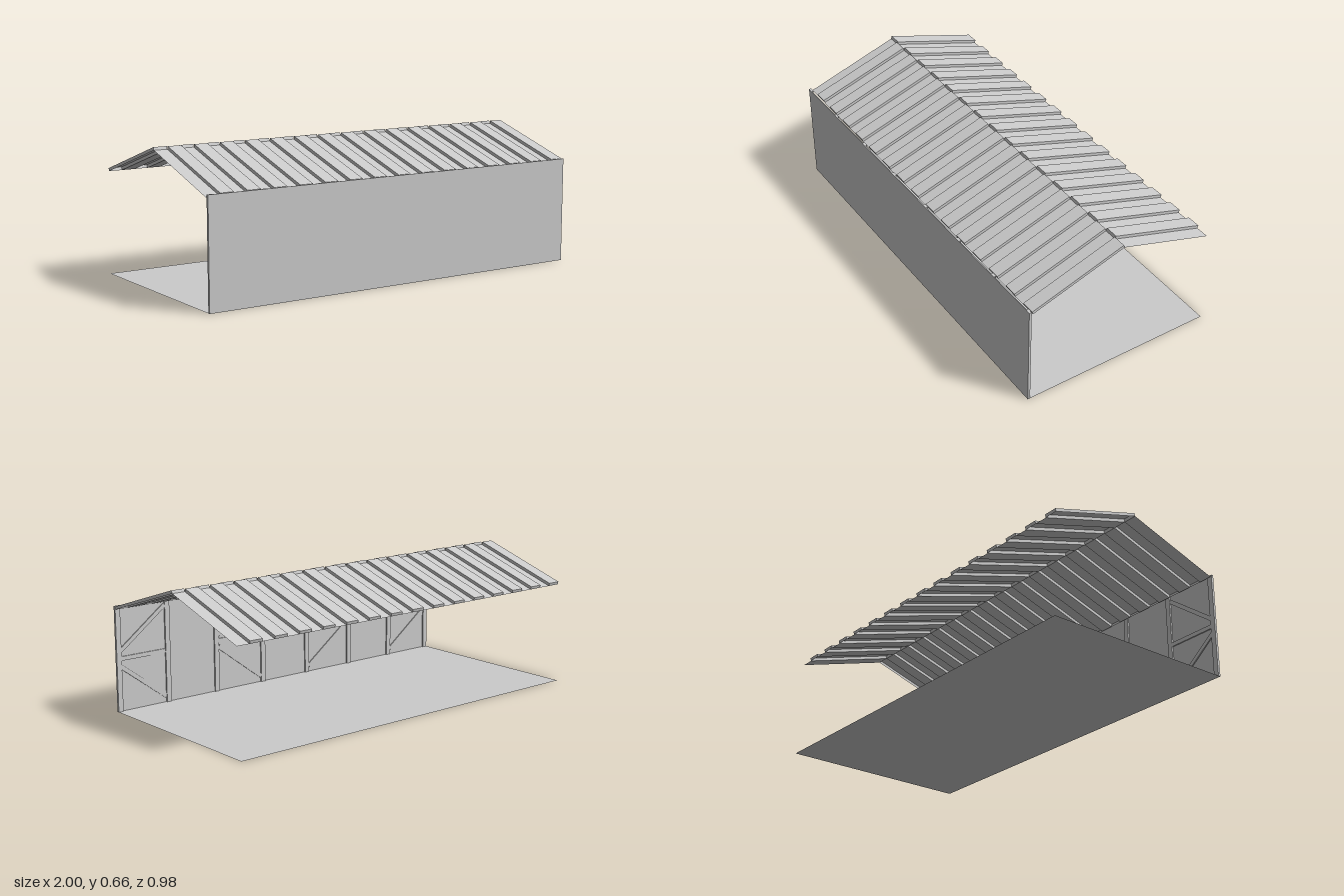
import * as THREE from 'three';

const mat = new THREE.MeshStandardMaterial({ color: 0xcccccc, flatShading: true, side: THREE.DoubleSide });

// Box between two points in the wall plane, with a given width
function beam(name, x0, y0, x1, y1, width, z, depth) {
  const dx = x1 - x0, dy = y1 - y0;
  const mesh = new THREE.Mesh(new THREE.BoxGeometry(Math.hypot(dx, dy), width, depth), mat);
  mesh.name = name;
  mesh.position.set((x0 + x1) / 2, (y0 + y1) / 2, z);
  mesh.rotation.z = Math.atan2(dy, dx);
  return mesh;
}

// One corrugated slope: low and high strips alternate, joined by risers
function roofSlope(name) {
  const strips = 30, pitch = 2 / strips;
  const low = [[0.645, 0], [0.496, 0.469]];
  const high = [[0.659, 0.004], [0.51, 0.473]];
  const pos = [];
  const quad = (a, b, c, d) => pos.push(...a, ...b, ...c, ...a, ...c, ...d);
  for (let i = 0; i < strips; i++) {
    const x0 = -1 + i * pitch, x1 = x0 + pitch;
    const isHigh = i % 2 === 1;
    const [r, e] = isHigh ? high : low;
    quad([x0, ...r], [x0, ...e], [x1, ...e], [x1, ...r]);
    if (!isHigh) continue;
    // risers on both sides
    quad([x0, ...high[0]], [x0, ...low[0]], [x0, ...low[1]], [x0, ...high[1]]);
    quad([x1, ...high[0]], [x1, ...high[1]], [x1, ...low[1]], [x1, ...low[0]]);
    // end caps at eave and ridge
    quad([x0, ...high[1]], [x0, ...low[1]], [x1, ...low[1]], [x1, ...high[1]]);
    quad([x0, ...high[0]], [x1, ...high[0]], [x1, ...low[0]], [x0, ...low[0]]);
  }
  const geo = new THREE.BufferGeometry();
  geo.setAttribute('position', new THREE.Float32BufferAttribute(pos, 3));
  geo.computeVertexNormals();
  const mesh = new THREE.Mesh(geo, mat);
  mesh.name = name;
  return mesh;
}

export function createModel() {
  const model = new THREE.Group();
  model.name = 'openShed';

  // Floor sheet
  const floor = new THREE.Mesh(new THREE.PlaneGeometry(2, 0.975), mat);
  floor.name = 'floor';
  floor.rotation.x = -Math.PI / 2;
  model.add(floor);

  // Wall skin
  const wall = new THREE.Group();
  wall.name = 'wall';
  const H = 0.51, W = 0.026, z = 0.479, depth = 0.008;
  const skin = new THREE.Mesh(new THREE.BoxGeometry(2, H, 0.0045), mat);
  skin.name = 'wallSkin';
  skin.position.set(0, H / 2, 0.485);
  wall.add(skin);

  // Posts between seven bays
  const bays = 7, bay = 2 / bays;
  for (let i = 0; i <= bays; i++) {
    const x = THREE.MathUtils.clamp(-1 + i * bay, -1 + W / 2, 1 - W / 2);
    wall.add(beam('wallPost', x, 0, x, H, W, z, depth));
  }

  // Every other bay has a middle rail and two braces meeting on its outer side
  for (let i = 0; i < bays; i += 2) {
    const cx = -1 + (i + 0.5) * bay;
    const s = Math.sign(cx), half = bay / 2 - W / 2;
    const inner = cx - s * half, outer = cx + s * half;
    wall.add(beam('middleRail', cx - half, H / 2, cx + half, H / 2, 0.02, z + 0.001, depth - 0.002));
    wall.add(beam('upperBrace', inner, H - 0.03, outer, H / 2 + 0.03, 0.02, z + 0.001, depth - 0.002));
    wall.add(beam('lowerBrace', inner, 0.03, outer, H / 2 - 0.03, 0.02, z + 0.001, depth - 0.002));
  }
  model.add(wall);

  // Two roof slopes, the back one turned half round
  const back = roofSlope('backRoof');
  back.rotation.y = Math.PI;
  model.add(roofSlope('frontRoof'), back);
  return model;
}
